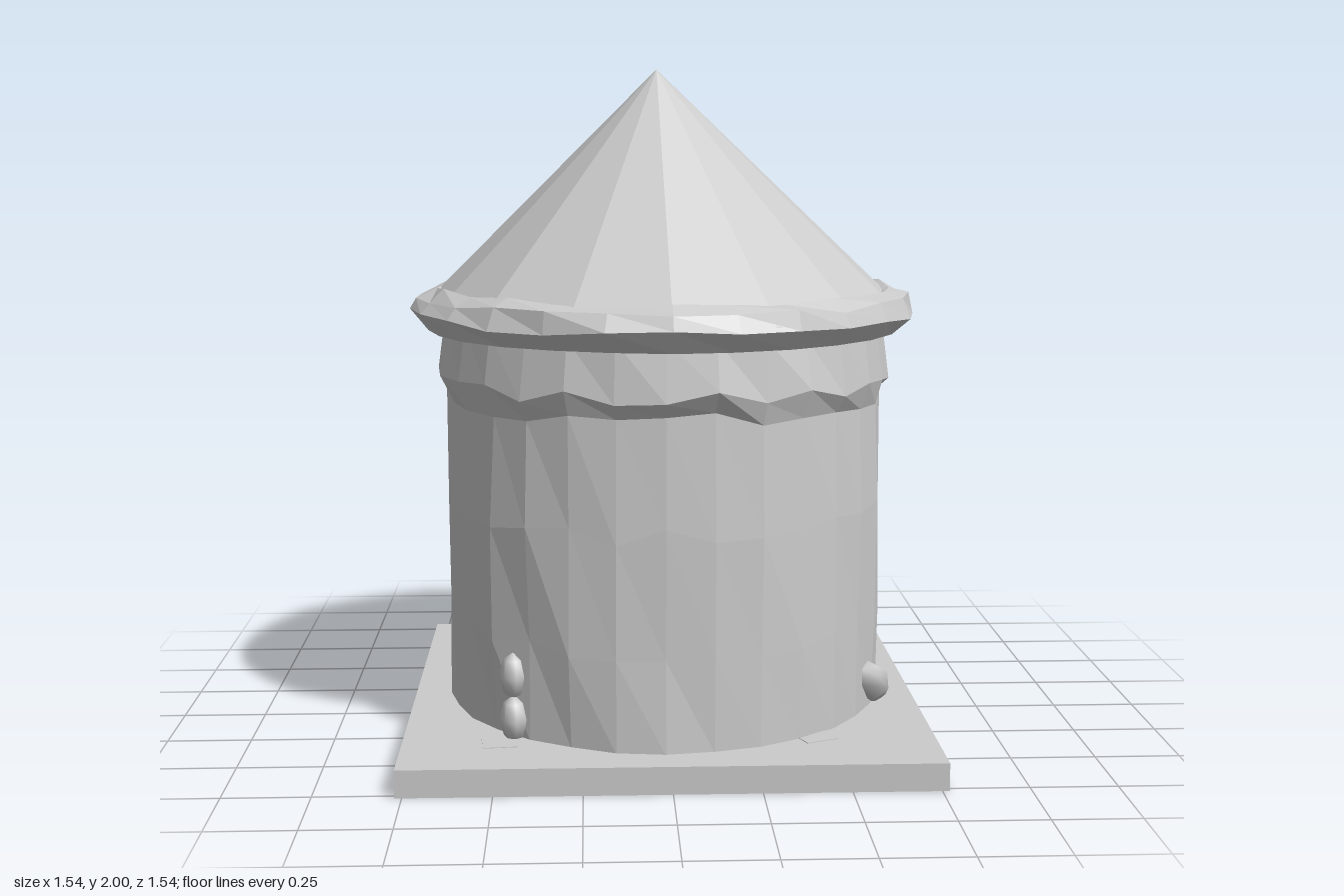
import * as THREE from 'three';

const flat = new THREE.MeshStandardMaterial({ color: 0xcccccc, flatShading: true, side: THREE.DoubleSide });
const smooth = new THREE.MeshStandardMaterial({ color: 0xcccccc });

// repeatable noise from a position, so touching corners move together
function noise(x, y, z, k) {
  const q = v => Math.round(v * 1000) / 1000;
  const s = Math.sin(q(x) * 127.1 + q(y) * 311.7 + q(z) * 74.7 + k * 19.3) * 43758.5453;
  return (s - Math.floor(s)) * 2 - 1;
}

// rough, hand-built look: nudge corners outward/inward, around and up/down
function roughen(geo, radial, vertical, yMin, yMax) {
  const p = geo.attributes.position;
  for (let i = 0; i < p.count; i++) {
    const x = p.getX(i), y = p.getY(i), z = p.getZ(i);
    const k = 1 + radial * noise(x, y, z, 1);
    const free = y > yMin && y < yMax ? 1 : 0;
    p.setXYZ(i, x * k, y + free * vertical * noise(x, y, z, 2), z * k);
  }
  geo.computeVertexNormals();
  return geo;
}

function add(parent, name, geo, mat = flat) {
  const mesh = new THREE.Mesh(geo, mat);
  mesh.name = name;
  parent.add(mesh);
  return mesh;
}

const v2 = list => list.map(([r, y]) => new THREE.Vector2(r, y));

export function createModel() {
  const hut = new THREE.Group();
  hut.name = 'roundHut';

  // square base slab
  const slab = add(hut, 'baseSlab', new THREE.BoxGeometry(1.54, 0.08, 1.54));
  slab.position.y = 0.04;

  // nearly flush floor tiles
  for (const [x, z, turn] of [[0, -0.1, 0.2], [0.52, -0.52, 0.3], [-0.54, -0.56, 0.25], [-0.49, 0.54, 0.1], [0.42, 0.52, 0.4]]) {
    const tile = add(hut, 'floorTile', new THREE.BoxGeometry(0.1, 0.01, 0.1));
    tile.position.set(x, 0.077, z);
    tile.rotation.y = turn;
  }

  // wall: outer profile going up, inner profile going down, doorway left open
  const outer = [[0.66, 0.075], [0.665, 0.36], [0.668, 0.7], [0.66, 1.03], [0.69, 1.09], [0.665, 1.25]];
  const inner = outer.map(([r, y], i) => [i === 4 ? 0.625 : 0.61, y]);
  const doorHalf = THREE.MathUtils.degToRad(34.5);
  const doorMid = THREE.MathUtils.degToRad(215);
  const start = doorMid + doorHalf, sweep = Math.PI * 2 - 2 * doorHalf;
  const wall = new THREE.Group();
  wall.name = 'wall';
  hut.add(wall);
  const loop = [...outer, ...[...inner].reverse(), outer[0]];
  add(wall, 'wallShell', roughen(new THREE.LatheGeometry(v2(loop), 24, start, sweep), 0.012, 0.025, 0.1, 1.2));

  // doorway edges closing the wall thickness
  for (const angle of [start, start + sweep]) {
    const geo = new THREE.PlaneGeometry(1, 1, 1, outer.length - 1);
    outer.forEach((o, row) => [o, inner[row]].forEach(([r, y], col) => {
      geo.attributes.position.setXYZ(row * 2 + col, r * Math.sin(angle), y, r * Math.cos(angle));
    }));
    add(wall, 'doorwayEdge', roughen(geo, 0.012, 0.025, 0.1, 1.2));
  }

  // thick eave ring around the foot of the roof
  const eave = [[0.61, 1.235], [0.71, 1.222], [0.767, 1.28], [0.745, 1.325], [0.69, 1.35], [0.61, 1.32], [0.61, 1.235]];
  add(hut, 'eaveRing', roughen(new THREE.LatheGeometry(v2(eave), 26), 0.011, 0.012, 1.24, 1.4));

  // faceted conical roof, its tip slightly off centre
  const roof = new THREE.ConeGeometry(0.74, 0.71, 16, 1, true);
  roof.translate(0, 1.645, 0);
  roughen(roof, 0.025, 0, 0, 0);
  const p = roof.attributes.position;
  for (let i = 0; i < p.count; i++) if (p.getY(i) > 1.9) p.setXYZ(i, -0.02, 2, 0.02);
  add(hut, 'roof', roof);

  // pebbles against and through the wall: position, radii, tilt
  const pebbles = [
    [[-0.45, 0.135, 0.49], [0.042, 0.07, 0.05], [0, 0, 0]],
    [[-0.45, 0.26, 0.48], [0.042, 0.07, 0.05], [0, 0, 0]],
    [[0.62, 0.145, 0.2], [0.07, 0.115, 0.06], [0.95, 0, 0.25]],
    [[0.27, 0.16, 0.52], [0.08, 0.1, 0.07], [0.2, 0.4, 0.2]],
  ];
  for (const [pos, size, tilt] of pebbles) {
    const pebble = add(hut, 'pebble', new THREE.SphereGeometry(1, 7, 4), smooth);
    pebble.position.set(...pos);
    pebble.scale.set(...size);
    pebble.rotation.set(...tilt);
  }
  return hut;
}
